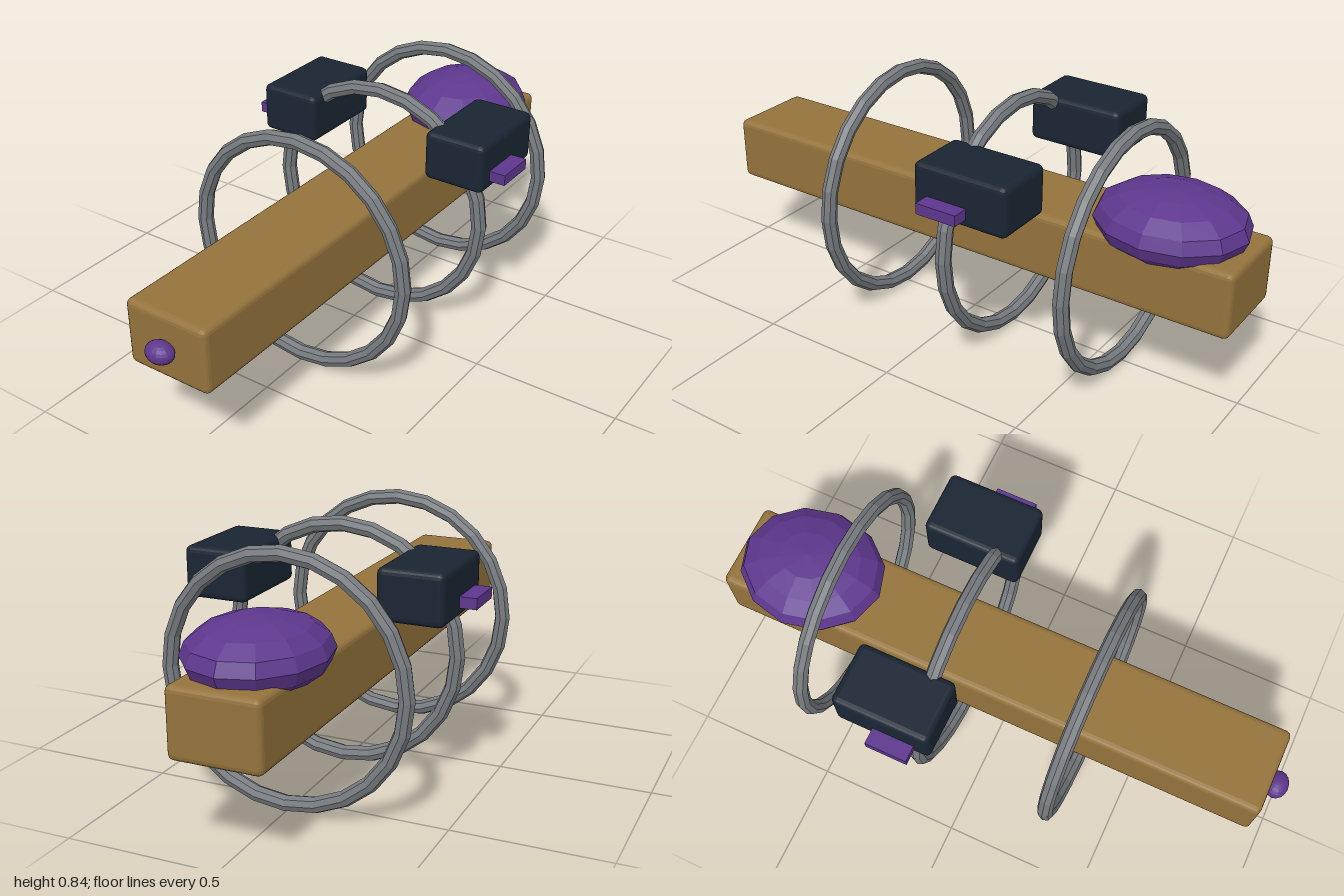
import * as THREE from 'three';
import { RoundedBoxGeometry } from 'three/addons/geometries/RoundedBoxGeometry.js';

const paint = (color) => new THREE.MeshStandardMaterial({ color, flatShading: true });

export function createModel() {
  const model = new THREE.Group();
  const wood = paint(0x94733c);
  const metal = paint(0x777b7f);
  const purple = paint(0x5e378e);
  const navy = paint(0x1a2533);
  const axisY = 0.425;

  function add(name, geometry, material, x, y, z) {
    const mesh = new THREE.Mesh(geometry, material);
    mesh.name = name;
    mesh.position.set(x, y, z);
    model.add(mesh);
    return mesh;
  }

  // Long hull beam
  add('hull', new RoundedBoxGeometry(0.3, 0.222, 1.938, 2, 0.02), wood, 0, axisY, -0.031);

  // Hoops around the hull
  for (const z of [0.307, -0.156, -0.58]) {
    add('hoop', new THREE.TorusGeometry(0.394, 0.026, 8, 24), metal, 0, axisY, z);
  }

  // Faceted canopy and small nose light
  add('canopy', new THREE.SphereGeometry(1, 12, 8), purple, 0, 0.57, -0.728)
    .scale.set(0.217, 0.11, 0.25);
  add('noseLight', new THREE.SphereGeometry(1, 16, 12), purple, 0, axisY, 0.962)
    .scale.set(0.048, 0.035, 0.038);

  // Side pods with outer fins
  for (const side of [1, -1]) {
    const label = side > 0 ? 'left' : 'right';
    add(label + 'Pod', new RoundedBoxGeometry(0.216, 0.168, 0.333, 2, 0.02), navy, side * 0.328, 0.676, -0.243);
    add(label + 'Fin', new THREE.BoxGeometry(0.08, 0.036, 0.143), purple, side * 0.451, 0.641, -0.2);
  }
  return model;
}
